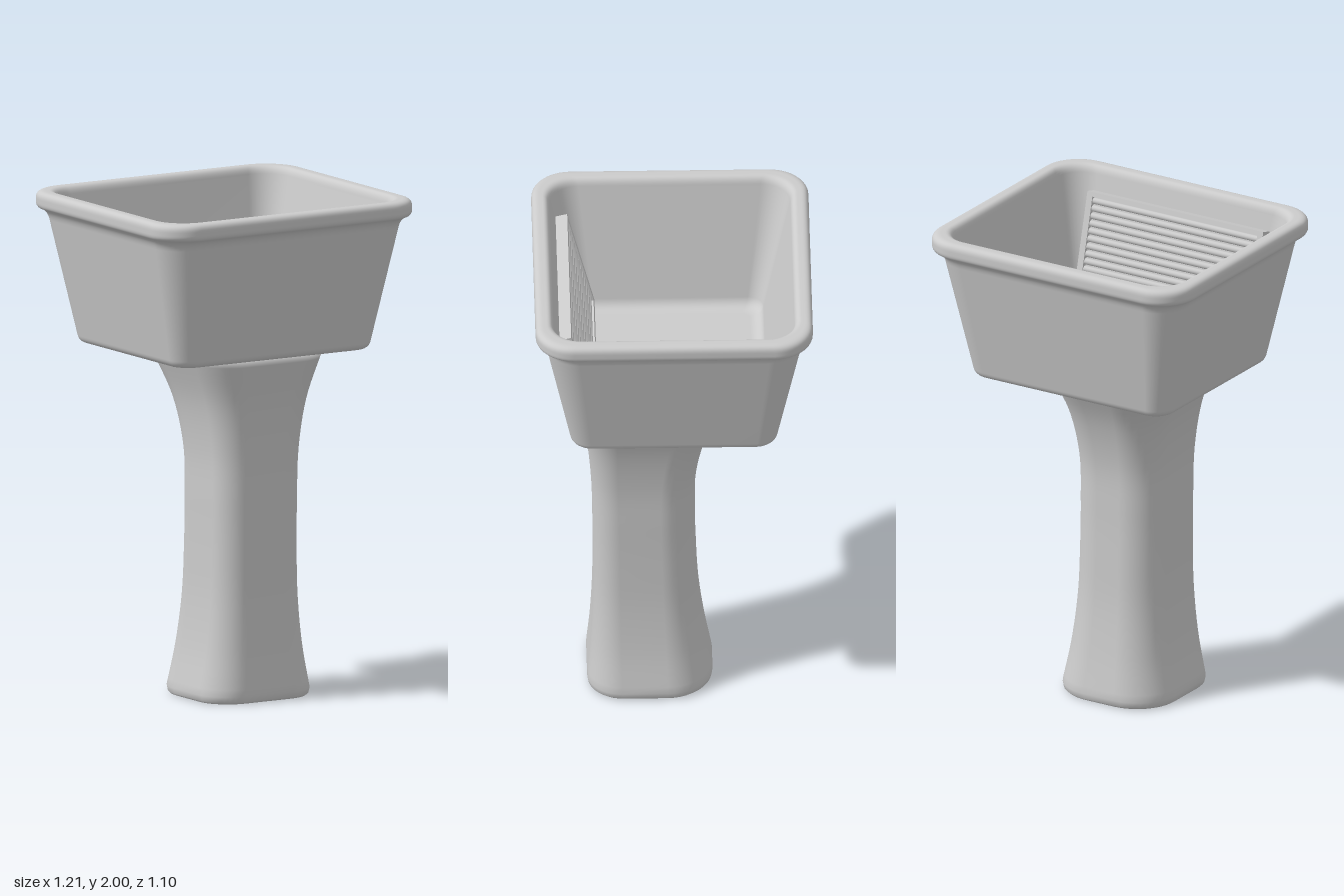
import * as THREE from 'three';

const grey = new THREE.MeshStandardMaterial({ color: 0xcccccc });
const dark = new THREE.MeshStandardMaterial({ color: 0x222222 });

// Rounded rectangle seen from above; front and back corners may differ in radius
function ring({ hx, front, back, y, rf, rb }, steps = 10) {
  const pts = [];
  const corners = [[1, 1, rb], [-1, 1, rb], [-1, -1, rf], [1, -1, rf]];
  corners.forEach(([sx, sz, r], k) => {
    const cx = sx * (hx - r), cz = sz > 0 ? back + r : front - r;
    for (let i = 0; i <= steps; i++) {
      const a = (k + i / steps) * Math.PI / 2;
      pts.push([cx + r * Math.cos(a), y, cz - r * Math.sin(a)]);
    }
  });
  return pts;
}

// Closed smooth skin through rings, capped at both ends
function loft(sections) {
  const rings = sections.map((s) => ring(s)), n = rings[0].length, index = [];
  const verts = rings.flat();
  const centre = (s) => [0, s.y, (s.front + s.back) / 2];
  const last = sections.length - 1, c0 = verts.length, c1 = c0 + 1;
  verts.push(centre(sections[0]), centre(sections[last]));
  for (let j = 0; j < n; j++) {
    const k = (j + 1) % n;
    for (let i = 0; i < last; i++) {
      const a = i * n + j, b = i * n + k;
      index.push(a, b, b + n, a, b + n, a + n);
    }
    index.push(c0, k, j, last * n + j, last * n + k, c1);
  }
  const geo = new THREE.BufferGeometry();
  geo.setAttribute('position', new THREE.Float32BufferAttribute(verts.flat(), 3));
  geo.setIndex(index);
  geo.computeVertexNormals();
  return geo;
}

function add(parent, name, geo, x = 0, y = 0, z = 0, mat = grey) {
  const mesh = new THREE.Mesh(geo, mat);
  mesh.name = name;
  mesh.position.set(x, y, z);
  parent.add(mesh);
  return mesh;
}

// Tapered basin: one profile up the outside, over the rim, down to the floor
function basinGeometry() {
  const p = new THREE.Path();
  p.moveTo(0.40, 1.39);
  p.lineTo(0.43, 1.39);
  p.quadraticCurveTo(0.46, 1.39, 0.466, 1.42);
  p.lineTo(0.56, 1.885);
  p.quadraticCurveTo(0.567, 1.92, 0.59, 1.93);
  p.quadraticCurveTo(0.605, 1.935, 0.605, 1.955);
  p.lineTo(0.605, 1.97);
  p.quadraticCurveTo(0.605, 2, 0.575, 2);
  p.lineTo(0.56, 2);
  p.quadraticCurveTo(0.535, 2, 0.53, 1.96);
  p.lineTo(0.425, 1.49);
  p.quadraticCurveTo(0.415, 1.45, 0.37, 1.45);
  return loft(p.getPoints(8).map(({ x, y }) => {
    const r = (x - 0.3) * 0.5, hz = x - 0.053;
    return { hx: x, front: hz, back: -hz, y, rf: r, rb: r };
  }));
}

// Pedestal: waisted column, flaring backwards under the basin
function pedestalGeometry() {
  // height, half width, front z, back z
  const keys = [
    [0.03, 0.25, 0.34, -0.16], [0.2, 0.217, 0.325, -0.13], [0.4, 0.196, 0.316, -0.105],
    [0.6, 0.19, 0.315, -0.095], [0.8, 0.19, 0.318, -0.09], [1.0, 0.194, 0.325, -0.096],
    [1.2, 0.225, 0.345, -0.145], [1.4, 0.295, 0.387, -0.245],
  ];
  const section = ([y, hx, front, back]) => ({ hx, front, back, y, rf: hx * 0.55, rb: hx * 0.72 });
  const rows = [[0, 0.225, 0.315, -0.135], [0, 0.238, 0.328, -0.148], [0.008, 0.246, 0.336, -0.156]];
  const widths = new THREE.CatmullRomCurve3(keys.map((k) => new THREE.Vector3(k[0], k[1], 0)));
  const depths = new THREE.CatmullRomCurve3(keys.map((k) => new THREE.Vector3(k[0], k[2], k[3])));
  for (let i = 0; i <= 42; i++) {
    const w = widths.getPoint(i / 42), d = depths.getPoint(i / 42);
    rows.push([w.x, w.y, d.y, d.z]);
  }
  return loft(rows.map(section));
}

// Ribbed washboard leaning on the front wall
function washboard() {
  const board = new THREE.Group();
  board.name = 'washboard';
  const w = 0.83, h = 0.44, rail = 0.026, ribs = 13;
  add(board, 'boardPanel', new THREE.BoxGeometry(w, h, 0.03), 0, 0, 0.012);
  for (const s of [-1, 1]) {
    add(board, 'sideRail', new THREE.BoxGeometry(rail, h, 0.022), s * (w - rail) / 2, 0, -0.01);
    add(board, 'endRail', new THREE.BoxGeometry(w, 0.018, 0.022), 0, s * (h - 0.018) / 2, -0.01);
  }
  const pitch = (h - 0.04) / ribs;
  const rib = new THREE.CylinderGeometry(pitch * 0.42, pitch * 0.42, w - 2 * rail, 12);
  rib.rotateZ(Math.PI / 2);
  for (let i = 0; i < ribs; i++) {
    add(board, 'rib', rib, 0, (i - (ribs - 1) / 2) * pitch, -0.004);
  }
  board.position.set(0, 1.7, 0.375);
  board.rotation.x = 0.25;
  return board;
}

// Domed drain strainer with a ring of holes
function drain() {
  const group = new THREE.Group();
  group.name = 'drain';
  const R = 0.051;
  const shape = new THREE.Shape().absarc(0, 0, R, 0, Math.PI * 2);
  for (let i = 0; i < 8; i++) {
    const a = i * Math.PI / 4;
    shape.holes.push(new THREE.Path().absarc(0.031 * Math.cos(a), 0.031 * Math.sin(a), 0.006, 0, Math.PI * 2, true));
  }
  const geo = new THREE.ExtrudeGeometry(shape, { depth: 0.006, bevelEnabled: false, curveSegments: 16 });
  geo.rotateX(-Math.PI / 2);
  const pos = geo.attributes.position;
  for (let i = 0; i < pos.count; i++) {
    const r = Math.hypot(pos.getX(i), pos.getZ(i)) / R;
    pos.setY(i, pos.getY(i) + 0.012 * (1 - r * r));
  }
  geo.computeVertexNormals();
  add(group, 'strainer', geo);
  add(group, 'drainHole', new THREE.CylinderGeometry(0.045, 0.045, 0.002, 32), 0, 0.001, 0, dark);
  const knob = new THREE.SphereGeometry(0.008, 16, 8);
  knob.scale(1, 0.5, 1);
  add(group, 'strainerScrew', knob, 0, 0.014, 0);
  group.position.set(0, 1.45, -0.17);
  return group;
}

export function createModel() {
  const sink = new THREE.Group();
  sink.name = 'laundrySink';
  add(sink, 'basin', basinGeometry());
  add(sink, 'pedestal', pedestalGeometry());
  sink.add(washboard(), drain());
  return sink;
}
